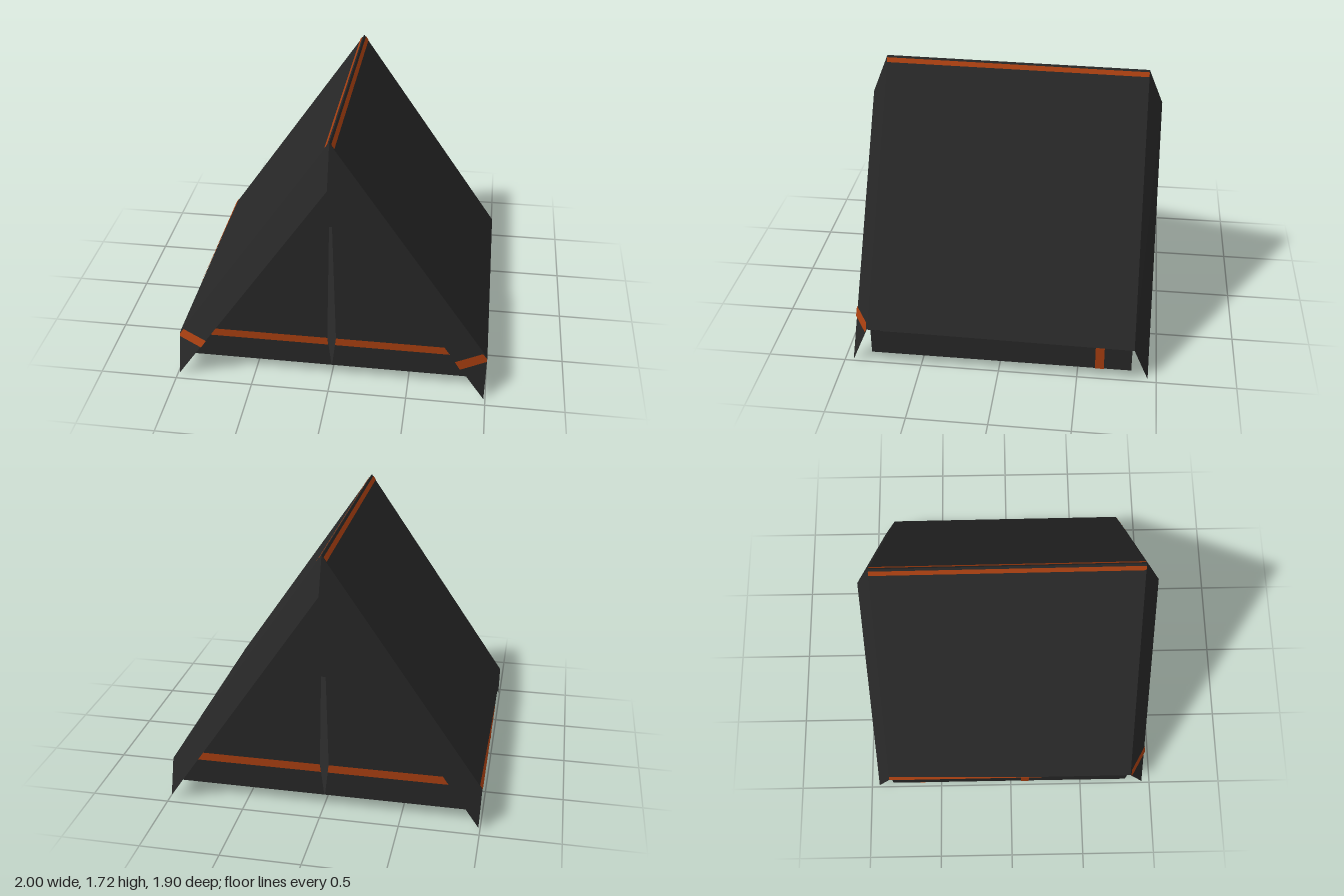
import * as THREE from 'three';

const canvas = new THREE.MeshStandardMaterial({ color: 0x272727, side: THREE.DoubleSide });
canvas.name = 'dark canvas';
const trim = new THREE.MeshStandardMaterial({ color: 0xa63e10, side: THREE.DoubleSide });
trim.name = 'orange trim';

// Flat convex panel through corner points, listed counter-clockwise from outside
function panel(name, points, material) {
  const pos = [];
  for (let i = 1; i < points.length - 1; i++) pos.push(...points[0], ...points[i], ...points[i + 1]);
  const geo = new THREE.BufferGeometry();
  geo.setAttribute('position', new THREE.Float32BufferAttribute(pos, 3));
  geo.computeVertexNormals();
  const mesh = new THREE.Mesh(geo, material);
  mesh.name = name;
  return mesh;
}

// Upright panel facing +z, which may be concave
function upright(name, outline, z, material) {
  const shape = new THREE.Shape(outline.map(([x, y]) => new THREE.Vector2(x, y)));
  const mesh = new THREE.Mesh(new THREE.ShapeGeometry(shape), material);
  mesh.name = name;
  mesh.position.z = z;
  return mesh;
}

// Flip a point list to the other side, keeping the corner order facing outward
const mirror = (points, s) => (s > 0 ? points : points.map(([x, ...r]) => [-x, ...r]).reverse());

const FRONT = 0.84, BACK = -0.853, FLOOR = 0.075;

// Gable with a slit door and a splayed storm flap
function createEnd(name, { ridge, eave, edge, wall, flapTop, flapTip, stripedFlap }) {
  const end = new THREE.Group();
  end.name = name;
  const reach = 0.945;
  for (const s of [1, -1]) {
    const door = [[0, ridge - 0.01], [0.002, 1.46], [0.028, 0.3], [0.002, FLOOR],
      [0.985, FLOOR], [0.985, eave]];
    end.add(upright('doorPanel', mirror(door, s), wall, canvas));
    const band = [[0.022, 0.243], [0.955, 0.243], [0.94, 0.297], [0.028, 0.297]];
    end.add(upright('doorBand', mirror(band, s), wall + 0.004, trim));

    const flap = [[0, ridge, edge], [0, flapTop, reach], [0.99, flapTip, reach], [0.997, eave, edge]];
    end.add(panel('stormFlap', mirror(flap, s), canvas));

    // Level band across the foot of the flap
    if (stripedFlap) {
      const slope = (ridge - eave) / 0.997;
      const onFlap = ([x, y]) =>
        [x, y, edge + (reach - edge) * (ridge - slope * x - y) / (ridge - flapTop) + 0.004];
      const strip = [[0.795, 0.29], [0.83, 0.235], [0.996, 0.235], [0.996, 0.252], [0.968, 0.29]];
      end.add(panel('flapBand', mirror(strip.map(onFlap), s), trim));
    }
  }
  return end;
}

export function createModel() {
  const tent = new THREE.Group();
  tent.name = 'tent';

  // Roof slopes, falling slightly toward the back
  const ridgeY = z => (z > 0 ? 1.72 : 1.698);
  const eaveY = z => (z > 0 ? 0.258 : 0.24);
  const roofPoint = (t, z, lift = 0) =>
    [0.997 * t + lift, ridgeY(z) + (eaveY(z) - ridgeY(z)) * t + lift * 0.7, z];
  const roofStrip = (t0, t1, z0, z1, lift) =>
    [roofPoint(t0, z0, lift), roofPoint(t1, z0, lift), roofPoint(t1, z1, lift), roofPoint(t0, z1, lift)];

  for (const s of [1, -1]) {
    tent.add(panel('roof', mirror(roofStrip(0, 1, FRONT, BACK, 0), s), canvas));
    tent.add(panel('ridgeTrim', mirror(roofStrip(0.009, 0.027, FRONT, BACK, 0.003), s), trim));

    // Low side wall
    const wall = (z0, z1, x) => [[x, FLOOR, z0], [x, FLOOR, z1], [x, 0.245, z1], [x, 0.245, z0]];
    tent.add(panel('sideWall', mirror(wall(0.82, -0.84, 0.985), s), canvas));
    const zStripe = s > 0 ? -0.64 : 0.1;
    tent.add(panel('wallStripe', mirror(wall(zStripe + 0.028, zStripe - 0.028, 0.989), s), trim));
  }

  // Tapering trim along one eave
  const eaveTrim = [roofPoint(0.998, 0.25, 0.003), roofPoint(1, 0.25, 0.003),
    roofPoint(1, BACK, 0.003), roofPoint(0.982, BACK, 0.003)];
  for (const i of [0, 1]) eaveTrim[i][1] -= 0.006;
  tent.add(panel('eaveTrim', mirror(eaveTrim, -1), trim));

  // Ground sheet with a cross stripe
  const sheet = (z0, z1, y) => [[-0.985, y, z0], [-0.985, y, z1], [0.985, y, z1], [0.985, y, z0]];
  tent.add(panel('groundSheet', sheet(0.82, -0.84, FLOOR), canvas));
  tent.add(panel('groundStripe', sheet(-0.612, -0.668, FLOOR - 0.004), trim));

  // Both ends
  tent.add(createEnd('frontEnd', {
    ridge: 1.72, eave: 0.258, edge: FRONT, wall: 0.82, flapTop: 1.46, flapTip: 0.005, stripedFlap: true,
  }));
  const back = createEnd('backEnd', {
    ridge: 1.698, eave: 0.24, edge: -BACK, wall: 0.84, flapTop: 1.475, flapTip: 0.02, stripedFlap: false,
  });
  back.rotation.y = Math.PI;
  tent.add(back);

  return tent;
}
